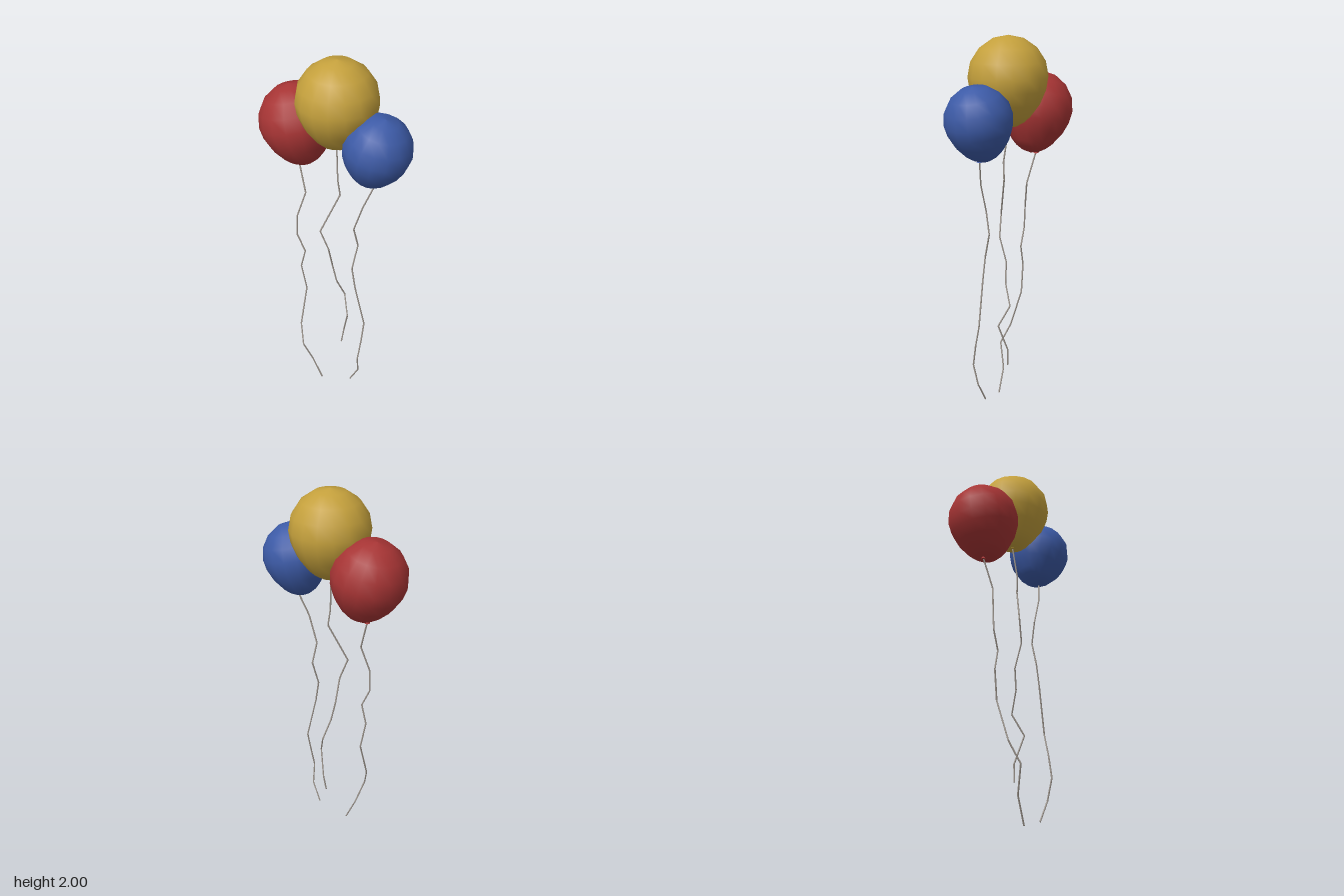
import * as THREE from 'three';
import { mergeGeometries } from 'three/addons/utils/BufferGeometryUtils.js';

const paint = (name, color) => Object.assign(new THREE.MeshStandardMaterial({ color }), { name });
const red = paint('red', 0xa63434);
const gold = paint('gold', 0xc4a03c);
const blue = paint('blue', 0x3c5aa6);
const cord = paint('cord', 0xa09890);

// Half outline of a balloon with unit radius, from the pole at the bottom to the top
const PROFILE = [[0, -1.26], [0.23, -1.21], [0.42, -1.1], [0.57, -0.96], [0.81, -0.64], [0.95, -0.31], [1, 0],
  [0.93, 0.37], [0.71, 0.7], [0.38, 0.925], [0, 1]];

// Each balloon: centre, radius, tilt about z, and its string from knot to loose end
const BALLOONS = [
  { name: 'red', mat: red, centre: [-0.226, 1.62], r: 0.189, tilt: 0.23, string: [
    [-0.22, 1.385, 0], [-0.167, 1.22, 0.02], [-0.2, 1.08, 0.055], [-0.2, 0.96, 0.06], [-0.157, 0.86, 0.05],
    [-0.183, 0.75, 0.055], [-0.157, 0.595, 0.045], [-0.15, 0.38, 0.115], [-0.108, 0.27, 0.155],
    [-0.077, 0.135, 0.11], [-0.02, 0.003, 0.098]] },
  { name: 'yellow', mat: gold, centre: [0.016, 1.799], r: 0.201, tilt: 0, string: [
    [0.013, 1.555, 0], [0.032, 1.37, 0.018], [0.04, 1.28, 0.008], [-0.03, 1.07, 0.085], [0.008, 0.955, 0.065],
    [0.003, 0.82, 0.024], [0.024, 0.71, 0.013], [0.045, 0.595, -0.034], [0.093, 0.485, 0.008],
    [0.05, 0.335, -0.024], [0.04, 0.24, -0.013]] },
  { name: 'blue', mat: blue, centre: [0.244, 1.615], r: 0.169, tilt: -0.23, string: [
    [0.24, 1.415, 0], [0.193, 1.28, 0.034], [0.146, 1.13, 0.04], [0.156, 1.015, 0.013], [0.146, 0.88, 0.05],
    [0.167, 0.76, 0.05], [0.22, 0.515, 0.035], [0.22, 0.4, 0.06], [0.214, 0.28, 0.083], [0.204, 0.165, 0.06],
    [0.15, 0.055, 0.055]] },
];

// Kinked string: one thin rod for each straight run
function stringGeometry(points, radius = 0.0042) {
  const up = new THREE.Vector3(0, 1, 0);
  const rods = [];
  for (let i = 0; i < points.length - 1; i++) {
    const a = new THREE.Vector3(...points[i]);
    const dir = new THREE.Vector3(...points[i + 1]).sub(a);
    const length = dir.length();
    const rod = new THREE.CylinderGeometry(radius, radius, length, 6);
    rod.applyQuaternion(new THREE.Quaternion().setFromUnitVectors(up, dir.clone().normalize()));
    rod.translate(...a.addScaledVector(dir, 0.5).toArray());
    rods.push(rod);
  }
  return mergeGeometries(rods);
}

export function createModel() {
  const model = new THREE.Group();
  model.name = 'balloonBunch';
  const profile = PROFILE.map(([x, y]) => new THREE.Vector2(x, y));

  for (const { name, mat, centre, r, tilt, string } of BALLOONS) {
    const group = new THREE.Group();
    group.name = `${name}Balloon`;

    // Inflated body
    const body = new THREE.Mesh(new THREE.LatheGeometry(profile, 16), mat);
    body.name = 'balloonBody';
    body.scale.setScalar(r);
    body.position.set(centre[0], centre[1], 0);
    body.rotation.z = tilt;

    // Small flared knot where the string begins
    const knot = new THREE.Mesh(new THREE.ConeGeometry(0.014, 0.03, 8), mat);
    knot.name = 'knot';
    knot.position.set(string[0][0], string[0][1] + 0.008, string[0][2]);

    const line = new THREE.Mesh(stringGeometry(string), cord);
    line.name = 'string';

    group.add(body, knot, line);
    model.add(group);
  }
  return model;
}
